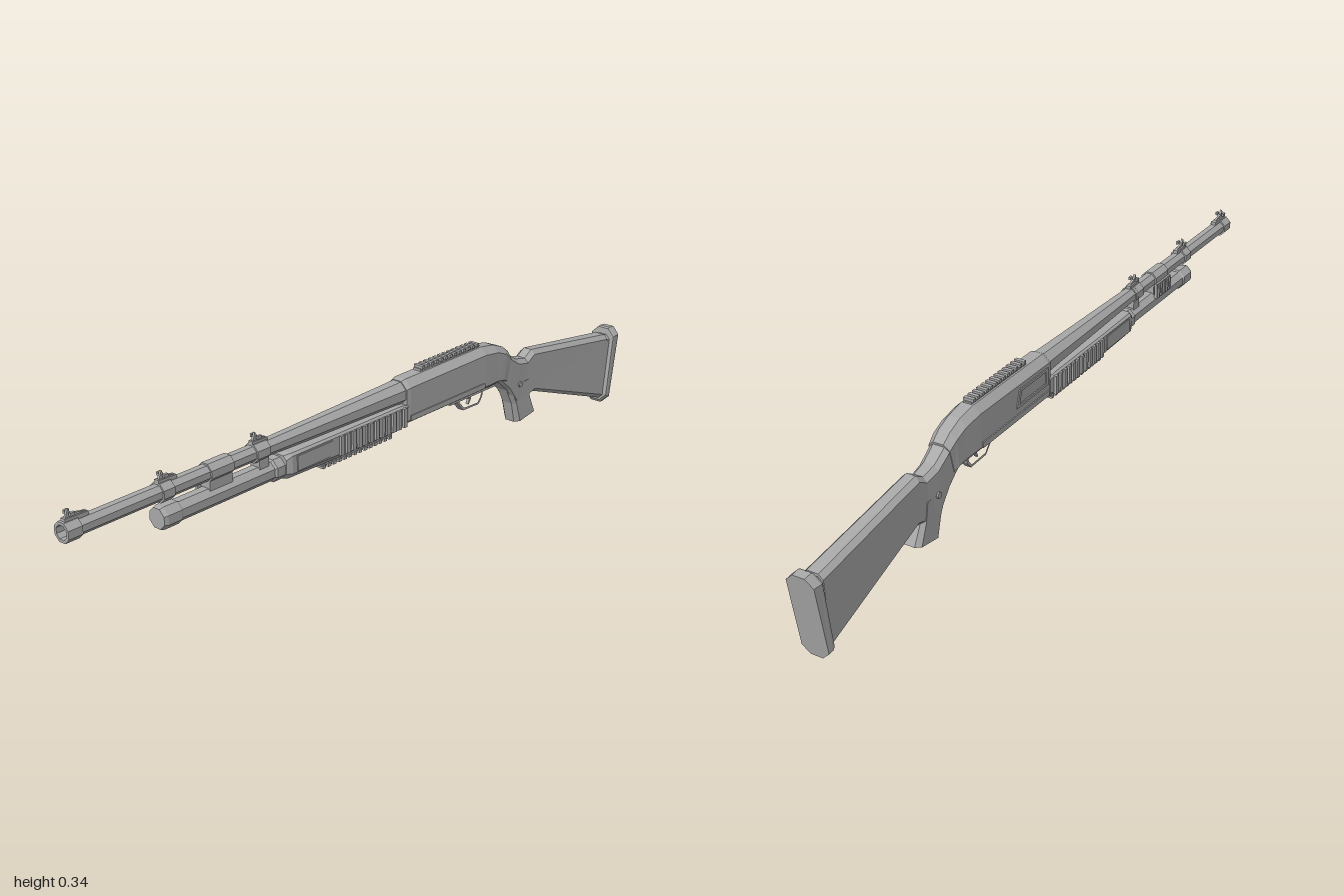
import * as THREE from 'three';

const steel = new THREE.MeshStandardMaterial({ color: 0xa8a8a8, flatShading: true });
steel.name = 'plain grey';

export function createModel() {
  const model = new THREE.Group();
  model.name = 'pumpShotgun';

  function add(name, geo, x = 0, y = 0, z = 0) {
    const m = new THREE.Mesh(geo, steel);
    m.name = name;
    m.position.set(x, y, z);
    model.add(m);
    return m;
  }
  const box = (name, w, h, d, x, y, z) => add(name, new THREE.BoxGeometry(w, h, d), x, y, z);

  // Loft of chamfered sections: [topZ, topY, bottomZ, bottomY, halfWidth, topChamfer, bottomChamfer]
  function loft(name, sections) {
    const rings = sections.map(([tz, ty, bz, by, w, ct, cb]) => {
      const b = new THREE.Vector2(bz, by), t = new THREE.Vector2(tz, ty);
      const u = t.clone().sub(b).normalize();
      const lo = b.clone().addScaledVector(u, cb), hi = t.clone().addScaledVector(u, -ct);
      return [[w, lo], [w, hi], [w - ct, t], [ct - w, t], [-w, hi], [-w, lo], [cb - w, b], [w - cb, b]]
        .map(([x, p]) => [x, p.y, p.x]);
    });
    const pos = [];
    const tri = (a, b, c) => pos.push(...a, ...b, ...c);
    for (let s = 0; s < rings.length - 1; s++) {
      const A = rings[s], B = rings[s + 1];
      for (let i = 0; i < 8; i++) {
        const j = (i + 1) % 8;
        tri(A[i], B[i], B[j]);
        tri(A[i], B[j], A[j]);
      }
    }
    const F = rings[0], E = rings[rings.length - 1];
    for (let i = 1; i < 7; i++) {
      tri(F[0], F[i], F[i + 1]);
      tri(E[0], E[i + 1], E[i]);
    }
    const g = new THREE.BufferGeometry();
    g.setAttribute('position', new THREE.Float32BufferAttribute(pos, 3));
    g.computeVertexNormals();
    return add(name, g);
  }

  // Octagonal turned part along z, profile points [radius, z] from back to front
  function turned(name, y, profile) {
    const g = new THREE.LatheGeometry(profile.map(([r, z]) => new THREE.Vector2(r, z)), 8, Math.PI / 8);
    g.rotateX(Math.PI / 2);
    return add(name, g, 0, y, 0);
  }

  // Side outline [z, y] extruded to a given width
  function plate(name, outline, width, x = 0, hole) {
    const toPts = (a) => a.map(([z, y]) => new THREE.Vector2(z, y));
    const shape = new THREE.Shape(toPts(outline));
    if (hole) shape.holes.push(new THREE.Path(toPts(hole)));
    const g = new THREE.ExtrudeGeometry(shape, { depth: width, bevelEnabled: false });
    g.translate(0, 0, -width / 2);
    g.rotateY(-Math.PI / 2);
    return add(name, g, x);
  }

  // Barrel with an open muzzle, and the tube below it
  turned('barrel', 0.289, [[0, -0.06], [0.033, -0.06], [0.031, 0], [0.022, 0.38], [0.0205, 0.45], [0.0205, 0.965],
    [0.025, 0.97], [0.025, 1], [0.0175, 1], [0.0165, 0.93], [0, 0.93]]);
  turned('magazineTube', 0.229, [[0, 0.3], [0.026, 0.3], [0.026, 0.69], [0.0295, 0.695], [0.0295, 0.735],
    [0.026, 0.745], [0, 0.745]]);
  turned('magazineCollar', 0.229, [[0.026, 0.37], [0.0305, 0.37], [0.0305, 0.4], [0.026, 0.405]]);

  // Three sights on barrel bands
  for (const [z, len] of [[0.982, 0.05], [0.728, 0.04], [0.445, 0.035]]) {
    turned('sightBand', 0.289, [[0.02, z - 0.02], [0.025, z - 0.02], [0.025, z + 0.012], [0.02, z + 0.012]]);
    plate('sightBase', [[z + 0.012, 0.308], [z + 0.012, 0.319], [z - len, 0.317], [z - len, 0.308]], 0.014);
    plate('sightBlade', [[z + 0.008, 0.317], [z, 0.338], [z - 0.008, 0.326], [z - len, 0.317]], 0.006);
    for (const s of [-1, 1]) box('sightWing', 0.006, 0.008, 0.012, s * 0.01, 0.327, z - 0.005);
  }

  // Clamps joining barrel and tube, with a ribbed side piece
  for (const [z, d] of [[0.565, 0.07], [0.43, 0.03]]) {
    box('clampBlock', 0.03, 0.03, d, 0, 0.262, z);
    turned('barrelClamp', 0.289, [[0.02, z - d / 2], [0.0245, z - d / 2], [0.0245, z + d / 2], [0.02, z + d / 2]]);
  }
  box('clampPlate', 0.008, 0.042, 0.08, -0.024, 0.262, 0.565);
  for (let i = 0; i < 5; i++) box('clampRib', 0.006, 0.036, 0.008, -0.029, 0.262, 0.533 + i * 0.016);

  // Sliding fore-end with side grooves
  loft('foreEnd', [
    [0.375, 0.262, 0.375, 0.204, 0.031, 0.01, 0.014],
    [0.36, 0.266, 0.36, 0.2, 0.037, 0.006, 0.016],
    [0.215, 0.266, 0.215, 0.196, 0.038, 0.005, 0.018],
    [-0.03, 0.266, -0.03, 0.196, 0.038, 0.005, 0.018],
    [-0.058, 0.262, -0.058, 0.204, 0.036, 0.005, 0.016]]);
  for (const s of [-1, 1]) {
    for (let i = 0; i < 12; i++) box('foreEndRib', 0.008, 0.05, 0.012, s * 0.04, 0.236, 0.195 - i * 0.021);
    box('foreEndPanel', 0.004, 0.038, 0.12, s * 0.038, 0.238, 0.285);
  }

  // Toothed rails under the fore-end and on top of the receiver
  function rail(name, z0, z1, y, dir, w, n) {
    const len = z0 - z1, step = len / n;
    box(name, w, 0.01, len, 0, y, (z0 + z1) / 2);
    for (let i = 0; i < n; i++) box(name + 'Tooth', w + 0.006, 0.008, step * 0.55, 0, y + dir * 0.008, z0 - (i + 0.5) * step);
  }
  rail('lowerRail', 0.24, -0.02, 0.192, -1, 0.026, 14);
  rail('upperRail', -0.13, -0.37, 0.326, 1, 0.022, 13);

  // Receiver with its rounded tail
  loft('receiver', [
    [-0.052, 0.321, -0.052, 0.214, 0.033, 0.019, 0.008],
    [-0.065, 0.324, -0.065, 0.21, 0.035, 0.019, 0.009],
    [-0.37, 0.327, -0.37, 0.21, 0.035, 0.019, 0.009],
    [-0.425, 0.318, -0.43, 0.21, 0.033, 0.018, 0.009],
    [-0.465, 0.302, -0.455, 0.205, 0.032, 0.017, 0.009],
    [-0.492, 0.282, -0.47, 0.198, 0.029, 0.015, 0.009]]);
  for (const s of [-1, 1]) {
    box('receiverLedge', 0.006, 0.014, 0.3, s * 0.035, 0.225, -0.215);
    const pin = add('gripPin', new THREE.CylinderGeometry(0.008, 0.008, 0.006, 8), s * 0.0275, 0.178, -0.535);
    pin.rotation.z = Math.PI / 2;
  }

  // Ejection port frame on the right side
  plate('ejectionPort', [[-0.07, 0.25], [-0.07, 0.296], [-0.2, 0.296], [-0.215, 0.25]], 0.008, -0.034,
    [[-0.08, 0.257], [-0.08, 0.289], [-0.193, 0.289], [-0.202, 0.257]]);

  // Trigger group
  box('triggerPlate', 0.034, 0.014, 0.19, 0, 0.206, -0.34);
  plate('triggerGuard', [[-0.25, 0.205], [-0.28, 0.198], [-0.31, 0.165], [-0.375, 0.163], [-0.39, 0.18], [-0.395, 0.205]],
    0.018, 0, [[-0.285, 0.202], [-0.313, 0.171], [-0.371, 0.169], [-0.383, 0.182], [-0.387, 0.202]]);
  plate('trigger', [[-0.335, 0.204], [-0.342, 0.186], [-0.336, 0.173], [-0.34, 0.172], [-0.349, 0.186], [-0.35, 0.204]], 0.008);

  // Shoulder stock, hand grip and butt pad
  loft('stock', [
    [-0.475, 0.288, -0.445, 0.208, 0.028, 0.012, 0.008],
    [-0.5, 0.268, -0.49, 0.17, 0.027, 0.012, 0.008],
    [-0.53, 0.249, -0.525, 0.125, 0.026, 0.012, 0.008],
    [-0.572, 0.24, -0.575, 0.125, 0.024, 0.012, 0.008],
    [-0.6, 0.257, -0.61, 0.134, 0.024, 0.012, 0.01],
    [-0.955, 0.208, -0.943, 0.016, 0.027, 0.012, 0.012]]);
  loft('handGrip', [
    [-0.585, 0.18, -0.485, 0.18, 0.025, 0.01, 0.01],
    [-0.594, 0.13, -0.514, 0.125, 0.025, 0.01, 0.01],
    [-0.618, 0.08, -0.53, 0.066, 0.026, 0.012, 0.012]]);
  loft('padSpacer', [
    [-0.95, 0.2, -0.94, 0.02, 0.025, 0.012, 0.012],
    [-0.976, 0.205, -0.95, 0.02, 0.025, 0.012, 0.012]]);
  loft('buttPad', [
    [-0.972, 0.221, -0.944, 0.01, 0.037, 0.02, 0.02],
    [-0.978, 0.224, -0.95, 0.001, 0.038, 0.022, 0.022],
    [-1, 0.222, -0.962, 0, 0.036, 0.02, 0.02]]);

  return model;
}
